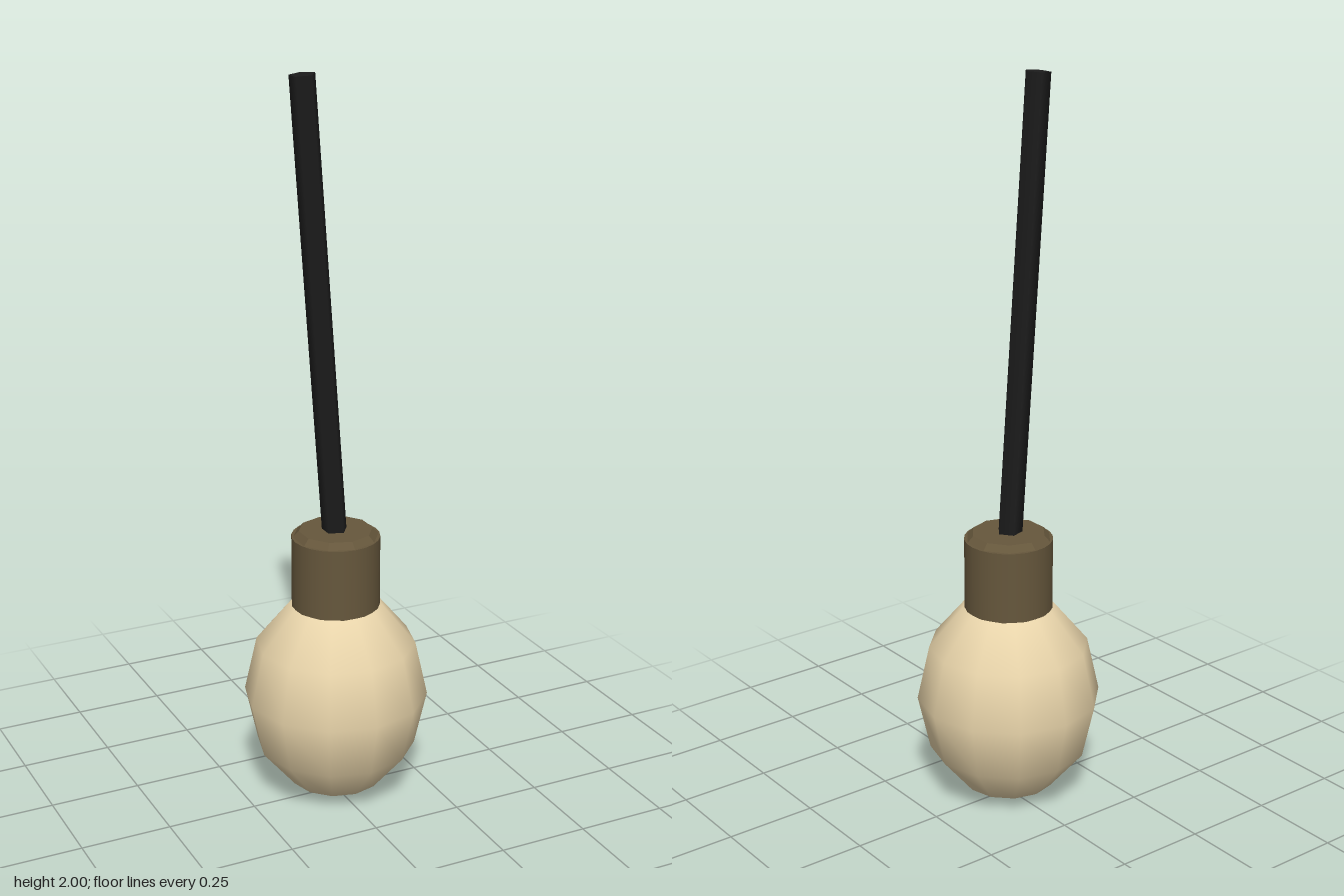
import * as THREE from 'three';

const material = (name, color) => {
  const m = new THREE.MeshStandardMaterial({ color });
  m.name = name;
  return m;
};

export function createModel() {
  const group = new THREE.Group();
  group.name = 'hangingBulb';

  const cream = material('warm cream', 0xe8d4aa);
  const bronze = material('dark bronze', 0x66573c);
  const black = material('cable black', 0x1c1c1c);

  const add = (name, geometry, mat, x, y) => {
    const mesh = new THREE.Mesh(geometry, mat);
    mesh.name = name;
    mesh.position.set(x, y, 0);
    group.add(mesh);
    return mesh;
  };

  // Egg-shaped low-poly bulb with smooth normals
  add('bulb', new THREE.SphereGeometry(0.252, 12, 6).scale(1, 1.2, 1), cream, 0, 0.304);

  // Socket sleeve, and its ten-sided bevelled cap
  add('socket', new THREE.CylinderGeometry(0.12, 0.12, 0.21, 24), bronze, 0, 0.66);
  const cap = new THREE.CylinderGeometry(0.1, 0.119, 0.02, 10).toNonIndexed();
  cap.computeVertexNormals();
  add('socketCap', cap, bronze, 0, 0.772);

  // Five-sided cable leaning to the model's right
  const bottom = new THREE.Vector3(0, 0.74, 0);
  const top = new THREE.Vector3(-0.091, 1.998, 0);
  const along = top.clone().sub(bottom);
  const cableGeometry = new THREE.CylinderGeometry(0.035, 0.035, along.length(), 5, 1, false, Math.PI / 2);
  const cable = add('cable', cableGeometry, black, (bottom.x + top.x) / 2, (bottom.y + top.y) / 2);
  cable.quaternion.setFromUnitVectors(new THREE.Vector3(0, 1, 0), along.normalize());

  return group;
}
